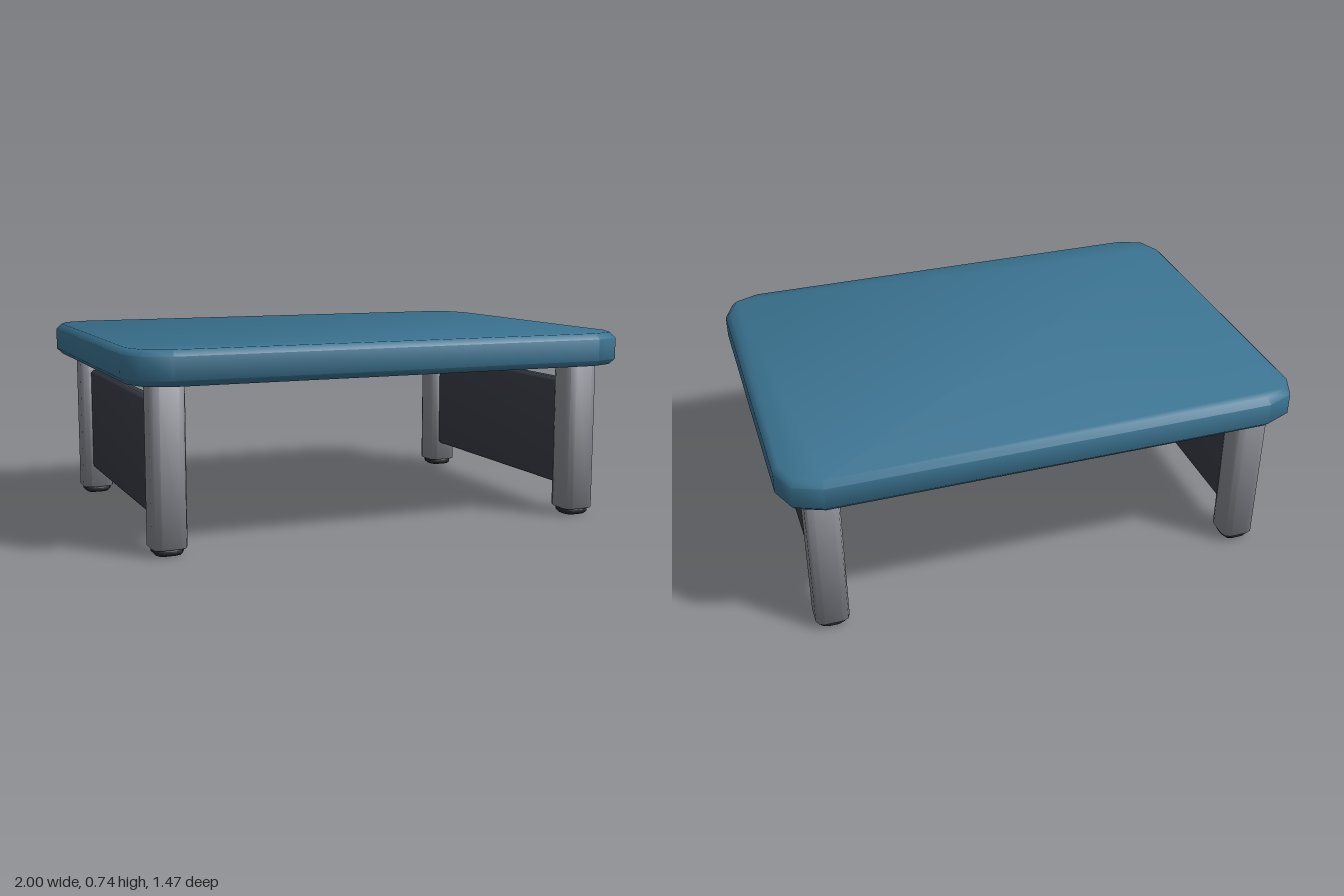
import * as THREE from 'three';
import { toCreasedNormals } from 'three/addons/utils/BufferGeometryUtils.js';

// Upright block from y0 to y1 with rounded corners and chamfered rims.
function roundedSlab(width, depth, y0, y1, radius, segments, bevel) {
  const points = [];
  const cx = width / 2 - radius, cy = depth / 2 - radius;
  [[1, 1], [-1, 1], [-1, -1], [1, -1]].forEach(([sx, sy], quarter) => {
    for (let i = 0; i <= segments; i++) {
      const a = (quarter + i / segments) * Math.PI / 2;
      points.push(new THREE.Vector2(sx * cx + radius * Math.cos(a), sy * cy + radius * Math.sin(a)));
    }
  });
  const geometry = new THREE.ExtrudeGeometry(new THREE.Shape(points), {
    depth: y1 - y0 - 2 * bevel,
    bevelEnabled: true, bevelSegments: 1,
    bevelSize: bevel, bevelThickness: bevel, bevelOffset: -bevel,
  });
  geometry.rotateX(-Math.PI / 2);
  geometry.translate(0, y0 + bevel, 0);
  return toCreasedNormals(geometry, 0.85);
}

export function createModel() {
  const material = (name, color) => {
    const m = new THREE.MeshStandardMaterial({ color });
    m.name = name;
    return m;
  };
  const blue = material('blue top', 0x3a7290);
  const grey = material('grey metal', 0x85888f);
  const charcoal = material('charcoal panel', 0x373b44);
  const black = material('black rubber', 0x25282c);

  const model = new THREE.Group();
  model.name = 'lowTable';
  const add = (name, geometry, mat, x = 0, z = 0) => {
    const mesh = new THREE.Mesh(geometry, mat);
    mesh.name = name;
    mesh.position.set(x, 0, z);
    model.add(mesh);
  };

  // Table top
  add('tableTop', roundedSlab(2, 1.47, 0.61, 0.737, 0.15, 2, 0.022), blue);

  const leg = roundedSlab(0.13, 0.13, 0.025, 0.615, 0.03, 2, 0.004);
  const foot = roundedSlab(0.11, 0.11, 0, 0.03, 0.035, 2, 0.01);
  const panel = roundedSlab(0.05, 1.05, 0.108, 0.54, 0.006, 1, 0.012);

  // Legs, feet and side panels
  for (const [side, sx] of [['left', 1], ['right', -1]]) {
    for (const [end, sz] of [['Front', 1], ['Back', -1]]) {
      add(`${side}${end}Leg`, leg, grey, sx * 0.845, sz * 0.583);
      add(`${side}${end}Foot`, foot, black, sx * 0.845, sz * 0.583);
    }
    add(`${side}SidePanel`, panel, charcoal, sx * 0.845);
  }
  return model;
}
